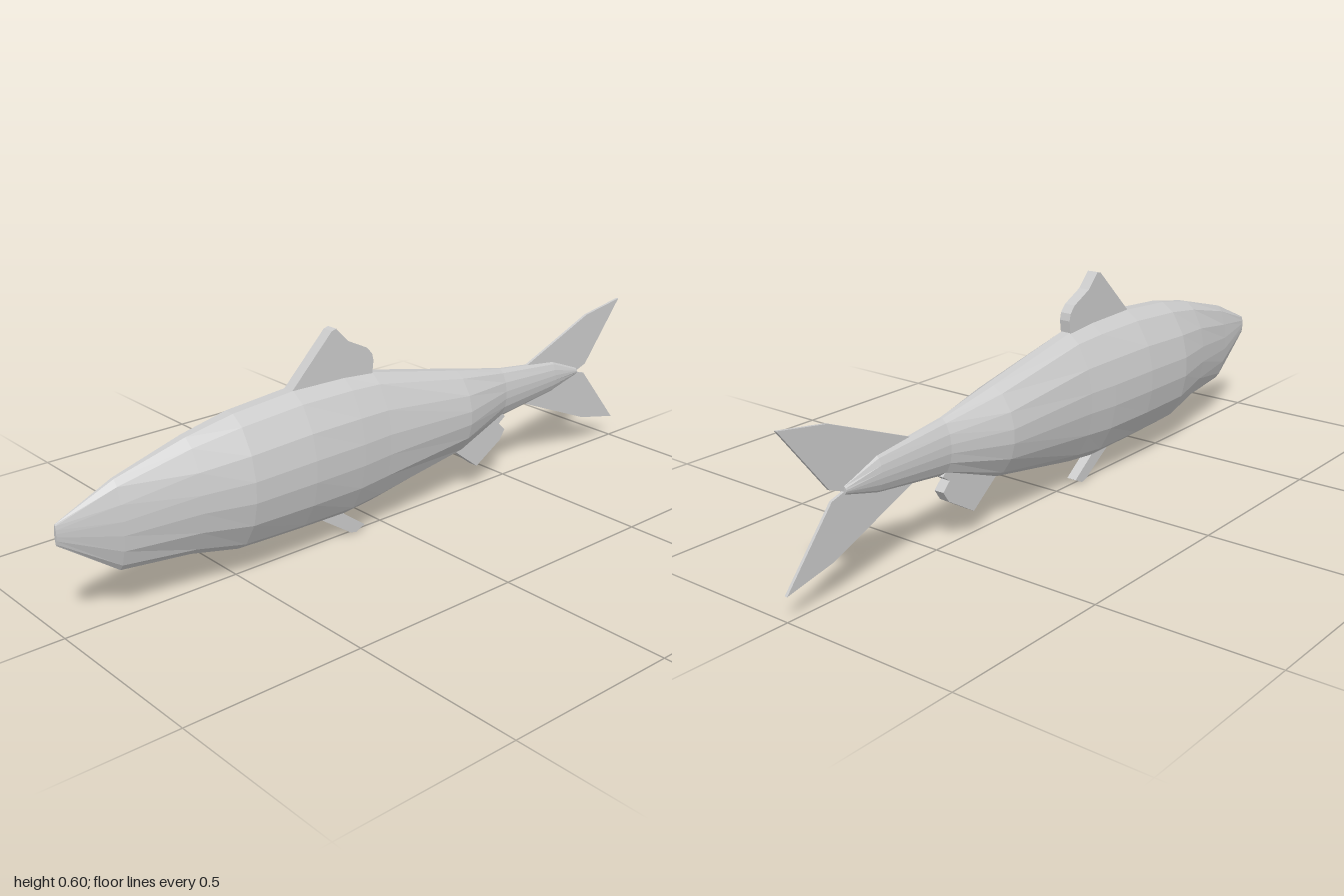
import * as THREE from 'three';

const material = new THREE.MeshStandardMaterial({ color: 0xcccccc, flatShading: true });

// Body stations from snout to tail root: [z, top, bottom, half width]
const stations = [
  [1, 0.3, 0.245, 0.005], [0.84, 0.37, 0.13, 0.035], [0.64, 0.425, 0.11, 0.077],
  [0.5, 0.452, 0.08, 0.105], [0.31, 0.467, 0.075, 0.11], [0.14, 0.464, 0.072, 0.101],
  [0.04, 0.456, 0.082, 0.093], [-0.28, 0.387, 0.135, 0.08], [-0.47, 0.347, 0.197, 0.033],
  [-0.7, 0.318, 0.223, 0.02], [-0.81, 0.275, 0.252, 0.011],
];

// Quarter of the unit cross-section, mirrored into a 16-sided ring
const quarter = [[1, 0.155], [0.86, 0.51], [0.5, 0.86], [0.15, 1]];
const half = [...quarter, ...quarter.map(([x, y]) => [-x, y]).reverse()];
const ring = [...half, ...half.map(([x, y]) => [-x, -y])];

function bodyGeometry() {
  const n = ring.length, positions = [], index = [];
  for (const [z, top, bottom, w] of stations) {
    const mid = (top + bottom) / 2, h = (top - bottom) / 2;
    for (const [x, y] of ring) positions.push(x * w, mid + y * h, z);
  }
  for (let k = 0; k < stations.length - 1; k++) {
    for (let i = 0; i < n; i++) {
      const a = k * n + i, b = k * n + (i + 1) % n;
      index.push(a, a + n, b, b, a + n, b + n);
    }
  }
  // Close the mouth and the tail root
  const last = (stations.length - 1) * n;
  for (let i = 1; i < n - 1; i++) {
    index.push(0, i, i + 1, last, last + i + 1, last + i);
  }
  const geometry = new THREE.BufferGeometry();
  geometry.setAttribute('position', new THREE.Float32BufferAttribute(positions, 3));
  geometry.setIndex(index);
  const flat = geometry.toNonIndexed();
  flat.computeVertexNormals();
  return flat;
}

// Flat slab in the symmetry plane, outlined by [z, y] points
function finGeometry(outline, thickness) {
  const shape = new THREE.Shape(outline.map(([z, y]) => new THREE.Vector2(z, y)));
  const geometry = new THREE.ExtrudeGeometry(shape, { depth: thickness, bevelEnabled: false });
  return geometry.translate(0, 0, -thickness / 2).rotateY(-Math.PI / 2);
}

export function createModel() {
  const group = new THREE.Group();
  const add = (name, geometry) => {
    const mesh = new THREE.Mesh(geometry, material);
    mesh.name = name;
    group.add(mesh);
  };

  add('body', bodyGeometry());

  // Thick fins, rooted inside the body
  add('dorsalFin', finGeometry([
    [0.31, 0.44], [0.315, 0.465], [0.18, 0.6], [0.165, 0.604], [0.125, 0.562],
    [0.06, 0.53], [0.042, 0.51], [0.037, 0.49], [0.043, 0.44],
  ], 0.033));
  add('pelvicFin', finGeometry([
    [0.23, 0.085], [0.22, 0.072], [0.12, 0.005], [0.1, 0], [0.07, 0.015], [0.145, 0.07], [0.14, 0.09],
  ], 0.03));
  add('analFin', finGeometry([
    [-0.28, 0.16], [-0.28, 0.137], [-0.37, 0.068], [-0.465, 0.125], [-0.485, 0.155], [-0.46, 0.18], [-0.485, 0.197], [-0.46, 0.22],
  ], 0.03));

  // Thin forked tail
  add('upperTailFin', finGeometry([
    [-0.57, 0.31], [-0.587, 0.332], [-0.85, 0.438], [-1, 0.462], [-0.855, 0.278], [-0.81, 0.262], [-0.7, 0.27],
  ], 0.008));
  add('lowerTailFin', finGeometry([
    [-0.57, 0.225], [-0.587, 0.208], [-0.855, 0.097], [-1, 0.065], [-0.85, 0.248], [-0.81, 0.26], [-0.7, 0.26],
  ], 0.008));

  return group;
}
